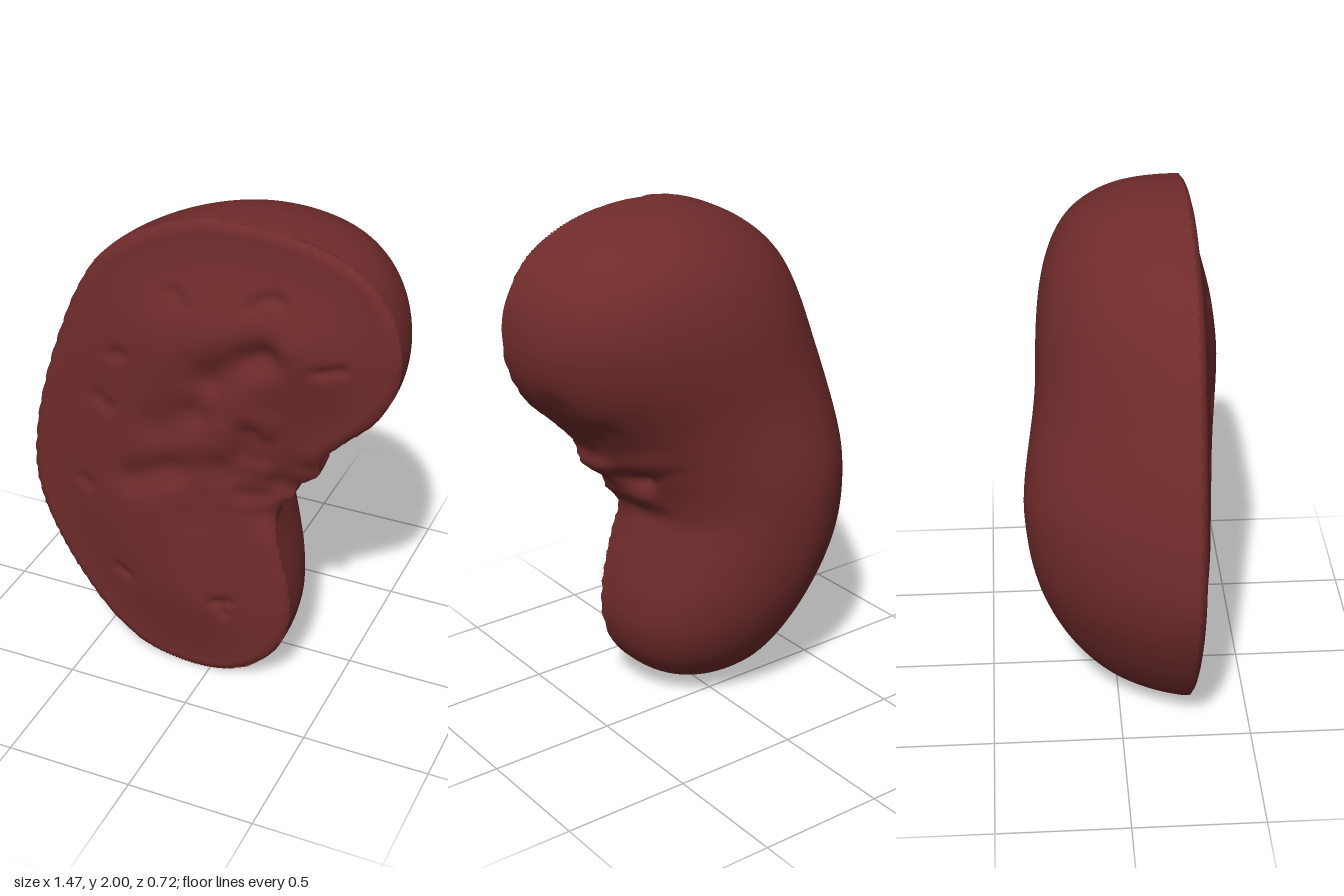
import * as THREE from 'three';

const { smoothstep, clamp, lerp } = THREE.MathUtils;

// Closed outline: from the lower tip up the notched side to the upper tip, then down the convex side
const notchedSide = [[-0.1, 0], [0.06, 0.015], [0.19, 0.08], [0.285, 0.185], [0.335, 0.33], [0.332, 0.47],
  [0.305, 0.6], [0.277, 0.71], [0.265, 0.79], [0.285, 0.88], [0.34, 0.98], [0.425, 1.09],
  [0.53, 1.2], [0.645, 1.315], [0.715, 1.45], [0.734, 1.58], [0.705, 1.725], [0.62, 1.855]];
const convexSide = [[0.485, 1.94], [0.325, 1.985], [0.14, 2], [0.01, 1.993], [-0.15, 1.945], [-0.31, 1.86],
  [-0.43, 1.755], [-0.52, 1.61], [-0.6, 1.42], [-0.67, 1.21], [-0.72, 1], [-0.74, 0.8], [-0.72, 0.65],
  [-0.655, 0.48], [-0.55, 0.3], [-0.42, 0.14], [-0.28, 0.04]];
const outlinePoints = [...notchedSide, ...convexSide].map(([x, y]) => new THREE.Vector3(x, y, 0));
const outline = new THREE.CatmullRomCurve3(outlinePoints, true, 'centripetal');
outline.arcLengthDivisions = outlinePoints.length * 20;
const upperTip = outline.getLengths()[notchedSide.length * 20] / outline.getLength();
const rimSamples = outline.getSpacedPoints(400);

// Grooves: start a, start b, end a, end b, radius, depth (negative depth is a ridge)
const cutGrooves = [
  [0.05, 1.4, 0.24, 1.53, 0.075, 0.042],
  [0.2, 1.51, 0.26, 1.53, 0.05, 0.015],
  [-0.28, 0.88, -0.14, 0.95, 0.065, 0.03],
  [-0.06, 0.97, 0.1, 1.0, 0.07, 0.016],
  [-0.16, 1.14, -0.06, 1.21, 0.075, 0.022],
  [0.0, 1.24, 0.03, 1.34, 0.06, 0.018],
  [-0.04, 0.74, -0.02, 0.86, 0.05, 0.008],
  [0.16, 1.08, 0.18, 1.18, 0.04, 0.02],
  [0.24, 1.07, 0.25, 1.15, 0.03, 0.016],
  [0.15, 0.9, 0.22, 0.9, 0.03, 0.014],
  [0.3, 0.98, 0.36, 1.04, 0.06, 0.025],
  [0.26, 0.82, 0.28, 0.92, 0.08, 0.03],
  [0.06, 1.1, 0.09, 1.18, 0.06, -0.012],
  [0.2, 1.27, 0.26, 1.25, 0.05, -0.01],
  // small vessel pits
  [-0.1, 1.71, -0.07, 1.67, 0.022, 0.013],
  [0.2, 1.71, 0.23, 1.74, 0.024, 0.014],
  [0.27, 1.76, 0.3, 1.75, 0.025, 0.012],
  [0.45, 1.51, 0.53, 1.53, 0.024, 0.015],
  [-0.35, 1.4, -0.31, 1.41, 0.025, 0.015],
  [-0.43, 1.2, -0.38, 1.17, 0.025, 0.014],
  [-0.51, 0.81, -0.48, 0.79, 0.025, 0.014],
  [-0.37, 0.42, -0.33, 0.4, 0.022, 0.014],
  [0.04, 0.38, 0.1, 0.39, 0.02, 0.014],
  [0.06, 0.37, 0.08, 0.33, 0.02, 0.014],
];
// Folds on the notched side wall, in z and y
const wallFolds = [
  [0.3, 1.03, 0.12, 1.0, 0.055, -0.06],
  [0.12, 1.04, -0.1, 1.08, 0.055, -0.025],
  [0.3, 0.9, 0.02, 0.91, 0.045, -0.035],
  [0.14, 1.0, 0.0, 1.0, 0.03, 0.03],
  [0.0, 1.0, -0.14, 1.06, 0.03, 0.02],
  [0.12, 0.82, -0.02, 0.83, 0.04, 0.012],
  [0.18, 1.24, 0.08, 1.34, 0.05, 0.018],
  [0.06, 1.18, -0.02, 1.24, 0.04, 0.015],
];

function carve(list, a, b) {
  let sum = 0;
  for (const [a0, b0, a1, b1, r, depth] of list) {
    const da = a1 - a0, db = b1 - b0;
    const t = clamp(((a - a0) * da + (b - b0) * db) / (da * da + db * db), 0, 1);
    const d2 = (a - a0 - t * da) ** 2 + (b - b0 - t * db) ** 2;
    sum += depth * Math.exp(-d2 / (r * r));
  }
  return sum;
}

const RIM = 0.25; // z where the cut face rounds over into the back

// Cut face: rounded rim, gentle swelling towards the middle, grooves and pits
function frontZ(p) {
  let d2 = Infinity;
  for (const q of rimSamples) d2 = Math.min(d2, (p.x - q.x) ** 2 + (p.y - q.y) ** 2);
  const edge = Math.sqrt(d2);
  const k = 1 - Math.min(edge / 0.045, 1);
  const swell = 0.05 + 0.028 * Math.exp(-(((p.y - 1.55) / 0.25) ** 2));
  return RIM + 0.038 * Math.sqrt(1 - k * k)
    + swell * smoothstep(edge, 0, 0.45) - carve(cutGrooves, p.x, p.y);
}

// Greatest depth of the back at each section: the lower lobe is deeper, the upper one blunter
function backDepth(u) {
  const full = lerp(0.61, 0.55, smoothstep(u, 0.42, 0.62));
  return full * (1 - Math.abs(2 * u - 1) ** (u < 0.5 ? 2.7 : 4));
}

// D-shaped cross-sections swept from the lower tip to the upper tip
function bodyGeometry() {
  const sections = 200, nFront = 100, nBack = 60, ring = nFront + nBack;
  const pos = [], index = [];
  for (let i = 0; i <= sections; i++) {
    const u = (1 - Math.cos(Math.PI * i / sections)) / 2;
    const L = outline.getPointAt(1 - u * (1 - upperTip));
    const R = outline.getPointAt(u * upperTip);
    const depth = backDepth(u);
    // in the lower lobe the convex flank slopes more and the notched wall is steeper
    const upper = smoothstep(u, 0.45, 0.8);
    const convexPower = lerp(1.6, 1, upper), notchedPower = lerp(0.82, 1, upper);
    for (let j = 0; j < ring; j++) {
      const front = j <= nFront;
      const a = front ? Math.PI * (1 - j / nFront) : Math.PI * (j - nFront) / nBack;
      const s = Math.cos(a);
      const p = L.clone().lerp(R, (s + 1) / 2);
      p.z = front ? frontZ(p) : RIM - depth * Math.sin(a) ** (s < 0 ? convexPower : notchedPower);
      if (s > 0) p.x -= carve(wallFolds, p.z, p.y) * s ** (front ? 8 : 2);
      pos.push(p.x, p.y, p.z);
      if (i < sections) {
        const k = i * ring + j, n = i * ring + (j + 1) % ring;
        index.push(k, n, n + ring, k, n + ring, k + ring);
      }
    }
  }
  const g = new THREE.BufferGeometry();
  g.setAttribute('position', new THREE.Float32BufferAttribute(pos, 3));
  g.setIndex(index);
  g.computeVertexNormals();
  return g;
}

export function createModel() {
  const group = new THREE.Group();
  group.name = 'kidneyHalf';
  const flesh = new THREE.MeshStandardMaterial({ color: 0x702b2b });
  flesh.name = 'dark red flesh';
  const body = new THREE.Mesh(bodyGeometry(), flesh);
  body.name = 'kidneyBody';
  group.add(body);
  return group;
}
